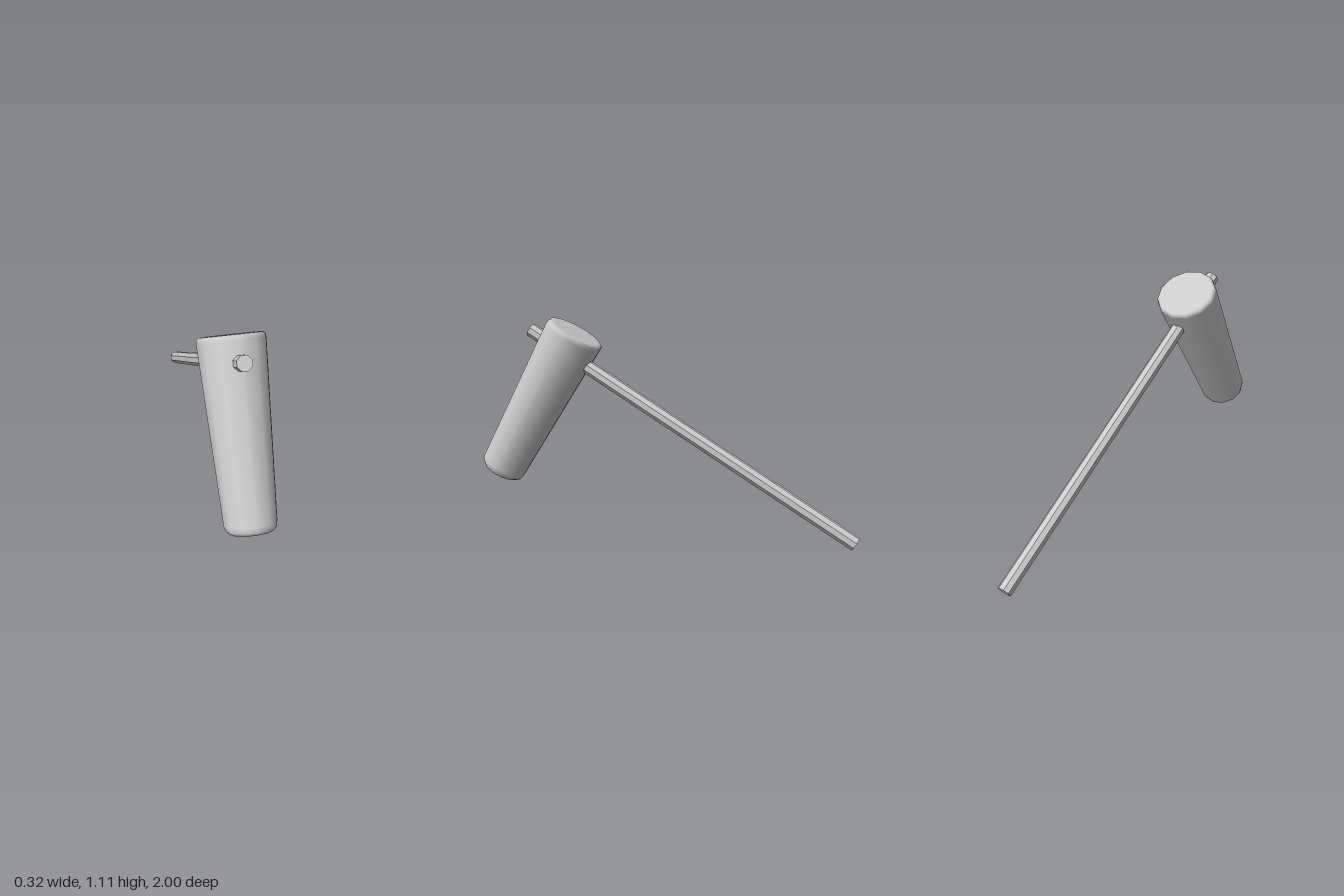
import * as THREE from 'three';

export function createModel() {
  const model = new THREE.Group();
  const tilt = 0.536;

  // Tilted assembly, origin at the centre of the head's top face
  const tool = new THREE.Group();
  tool.name = 'tool';
  tool.position.set(0, 1.033, 0.469);
  tool.rotation.x = -tilt;
  model.add(tool);

  // Tapered twelve-sided head with softened ends: [radius, y]
  const profile = [
    [0, -0.873], [0.08, -0.873], [0.102, -0.870], [0.115, -0.856], [0.122, -0.832],
    [0.158, -0.025], [0.155, -0.008], [0.145, 0], [0.125, 0.002], [0, 0.002],
  ].map(([r, y]) => new THREE.Vector2(r, y));
  const head = new THREE.Mesh(
    new THREE.LatheGeometry(profile, 12),
    new THREE.MeshStandardMaterial({ color: 0xcccccc }),
  );
  head.name = 'head';
  tool.add(head);

  // Octagonal rod passing through the head, flats facing sideways
  const rodGeometry = new THREE.CylinderGeometry(0.0368, 0.0368, 1.983, 8);
  rodGeometry.rotateY(Math.PI / 8).rotateX(Math.PI / 2);
  const rod = new THREE.Mesh(
    rodGeometry,
    new THREE.MeshStandardMaterial({ color: 0xcccccc, flatShading: true }),
  );
  rod.name = 'rod';
  rod.position.set(0, -0.122, -0.769);
  tool.add(rod);

  return model;
}
